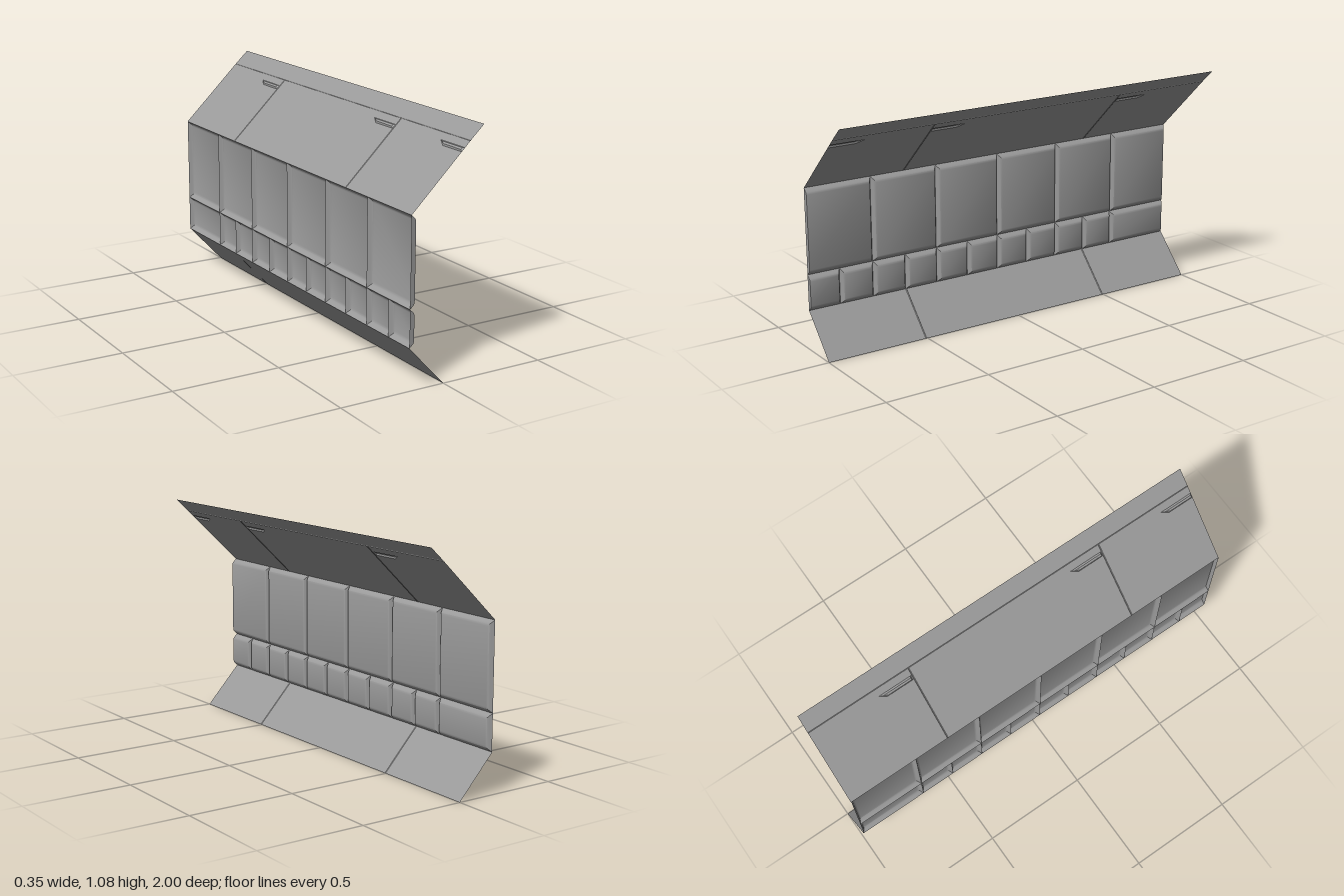
import * as THREE from 'three';
import { toCreasedNormals } from 'three/addons/utils/BufferGeometryUtils.js';

const material = new THREE.MeshStandardMaterial({ color: 0x9a9a9a, side: THREE.DoubleSide });

// Mesh from a list of four-cornered faces, smooth over the soft edges only
function quadMesh(name, quads) {
  const pos = [];
  for (const [a, b, c, d] of quads) pos.push(...a, ...b, ...c, ...a, ...c, ...d);
  const geo = new THREE.BufferGeometry();
  geo.setAttribute('position', new THREE.Float32BufferAttribute(pos, 3));
  const mesh = new THREE.Mesh(toCreasedNormals(geo, 0.6), material);
  mesh.name = name;
  return mesh;
}

const SEAM = 0.0025, DEPTH = 0.002;

// Grip outline in slope coordinates (distance up the slope, z), ending at z1
const gripOutline = (z1, inset) => [
  [0.329 + inset, z1 - inset], [0.351 - inset, z1 - inset],
  [0.351 - inset, z1 - 0.165 + inset * 3], [0.329 + inset, z1 - 0.13 + inset],
];

// Hollow raised grip with tapered end
function grip(z1) {
  const o = gripOutline(z1, 0).map((p) => [...p, 0]);
  const i = gripOutline(z1, 0.006).map((p) => [...p, -0.006]);
  const quads = [i];
  for (let k = 0; k < 4; k++) quads.push([o[k], o[(k + 1) % 4], i[(k + 1) % 4], i[k]]);
  return quadMesh('grip', quads);
}

// Sloping sheet from a to b (x, y): panels split by fine V seams, open under each grip
function slope(name, a, b, seams, grips = []) {
  const group = new THREE.Group();
  group.name = name;
  const len = Math.hypot(b[0] - a[0], b[1] - a[1]);
  const ux = (b[0] - a[0]) / len, uy = (b[1] - a[1]) / len;
  const basis = new THREE.Matrix4().makeBasis(
    new THREE.Vector3(ux, uy, 0), new THREE.Vector3(0, 0, 1), new THREE.Vector3(uy, -ux, 0));
  group.quaternion.setFromRotationMatrix(basis);
  group.position.set(a[0], a[1], 0);

  const toPath = (pts) => pts.map(([s, z]) => new THREE.Vector2(s, z));
  const edges = [-1, ...seams, 1];
  for (let k = 0; k < edges.length - 1; k++) {
    const z0 = edges[k] + (k ? SEAM : 0);
    const z1 = edges[k + 1] - (k < seams.length ? SEAM : 0);
    const shape = new THREE.Shape(toPath([[0, z0], [len, z0], [len, z1], [0, z1]]));
    for (const g of grips)
      if (g > z0 && g < z1) shape.holes.push(new THREE.Path(toPath(gripOutline(g, 0))));
    const panel = new THREE.Mesh(new THREE.ShapeGeometry(shape), material);
    panel.name = name + 'Panel';
    group.add(panel);
  }
  for (const z of seams) {
    const line = (dz, h) => [[0, z + dz, h], [len, z + dz, h]];
    const [p, q, r] = [line(-SEAM, 0), line(0, DEPTH), line(SEAM, 0)];
    group.add(quadMesh('seam', [[p[0], p[1], q[1], q[0]], [q[0], q[1], r[1], r[0]]]));
  }
  for (const g of grips) group.add(grip(g));
  return group;
}

const WALL = -0.173;
// Rounded bevel of the pads: height, inset in y, inset in z
const BEVEL = [[0, 0, 0], [0.012, 0.011, 0.008], [0.019, 0.018, 0.013], [0.022, 0.027, 0.02]];

// Bevelled pad on the wall; a pad reaching z = 1 is cut off square
function pad(name, y0, y1, z0, z1) {
  const rings = BEVEL.map(([h, dy, dz]) => {
    const x = WALL + h, za = z1 > 0.99 ? z1 : z1 - dz, zb = z0 + dz;
    return [[x, y0 + dy, za], [x, y0 + dy, zb], [x, y1 - dy, zb], [x, y1 - dy, za]];
  });
  const quads = [rings[rings.length - 1]];
  for (let r = 0; r < rings.length - 1; r++) {
    const o = rings[r], i = rings[r + 1];
    for (let k = 0; k < 4; k++) {
      const m = (k + 1) % 4;
      // Split along the mitre at either end of a side
      quads.push([o[k], o[m], i[m], i[k]]);
    }
  }
  return quadMesh(name, quads);
}

export function createModel() {
  const group = new THREE.Group();
  const seams = [-0.495, 0.507];
  const eave = [WALL, 0.75], ridge = [0.11, 1.022], top = [0.173, 1.08];

  // Sloping sheets above and below the wall, with a fine seam under the trim
  const lip = [ridge[0] - 0.004, ridge[1] - 0.004];
  const dip = [ridge[0] - 0.001, ridge[1] - 0.004];
  group.add(
    slope('upperSlope', eave, lip, seams, [-0.502, 0.502, 0.999]),
    slope('trimSeamLower', lip, dip, []),
    slope('trimSeamUpper', dip, ridge, []),
    slope('topTrim', ridge, top, []),
    slope('lowerSlope', [0, 0], [WALL, 0.187], seams),
  );

  // Large pads, and small pads at half the pitch ending in one wide pad
  const pitch = 0.335, end = -0.998, low = 0.187, split = 0.354;
  for (let i = 0; i < 6; i++) {
    const z0 = end + i * pitch, z1 = i === 5 ? 1 : z0 + pitch;
    group.add(pad('largePad', split, eave[1], z0, z1));
    if (i === 0) group.add(pad('widePad', low, split, z0, z1));
    else {
      const mid = z0 + pitch / 2;
      group.add(pad('smallPad', low, split, z0, mid), pad('smallPad', low, split, mid, z1));
    }
  }

  return group;
}
